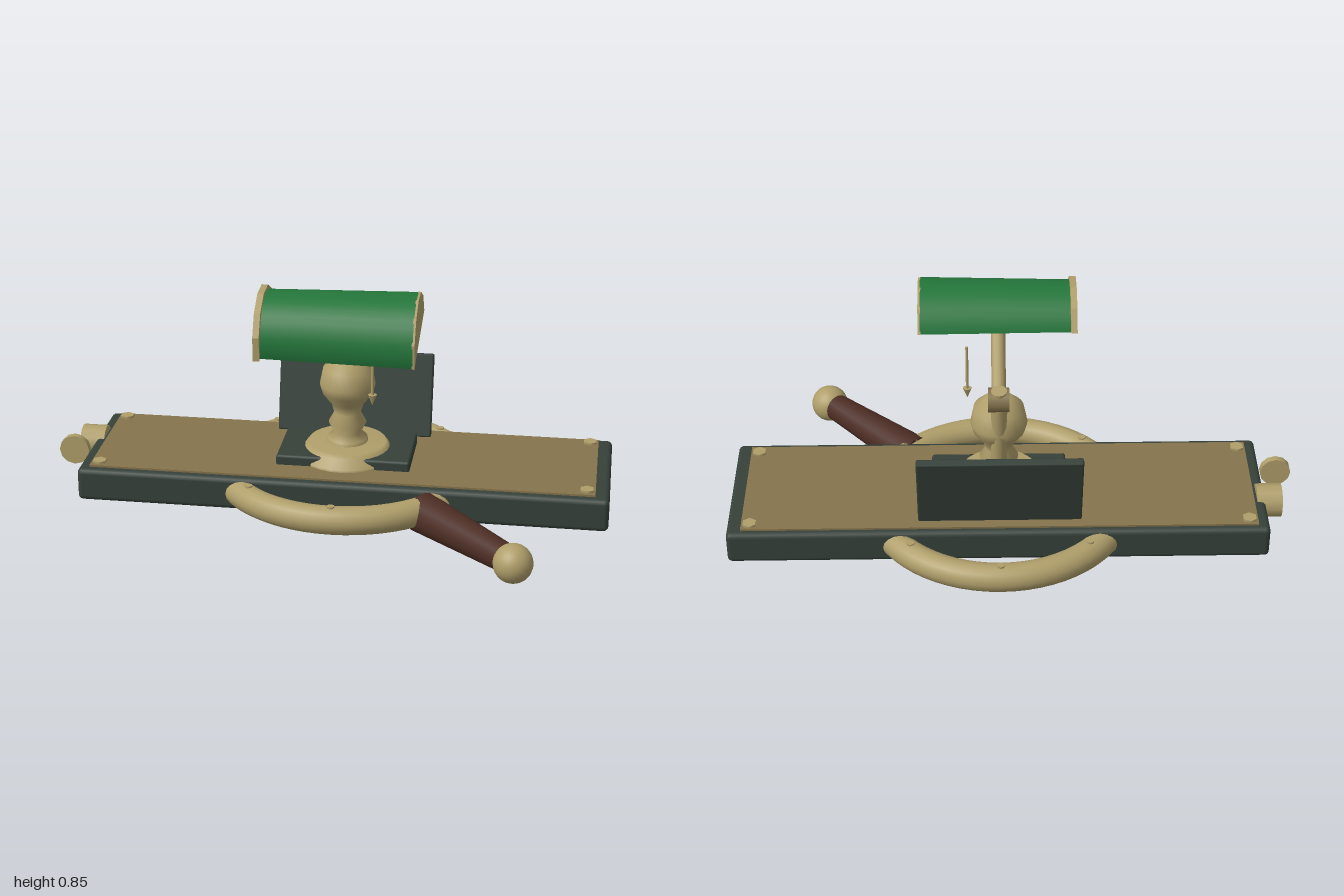
import * as THREE from 'three';
import { RoundedBoxGeometry } from 'three/addons/geometries/RoundedBoxGeometry.js';

const material = (name, color, extra = {}) => {
  const m = new THREE.MeshStandardMaterial({ color, ...extra });
  m.name = name;
  return m;
};

export function createModel() {
  const model = new THREE.Group();
  model.name = 'deskLamp';

  const brass = material('brass', 0xb09f6b);
  const agedBrass = material('agedBrass', 0x85744c);
  const iron = material('darkIron', 0x36413a);
  const wood = material('darkWood', 0x4c2d24);
  const green = material('greenGlass', 0x24763b, { side: THREE.DoubleSide });

  const add = (name, geometry, mat, x = 0, y = 0, z = 0, parent = model) => {
    const mesh = new THREE.Mesh(geometry, mat);
    mesh.name = name;
    mesh.position.set(x, y, z);
    parent.add(mesh);
    return mesh;
  };

  // Tapered round bar between two points
  const UP = new THREE.Vector3(0, 1, 0);
  const bar = (name, from, to, r0, r1, mat, sides = 16) => {
    const a = new THREE.Vector3(...from), b = new THREE.Vector3(...to);
    const dir = b.clone().sub(a);
    const mesh = add(name, new THREE.CylinderGeometry(r1, r0, dir.length(), sides), mat);
    mesh.position.copy(a).add(b).multiplyScalar(0.5);
    mesh.quaternion.setFromUnitVectors(UP, dir.normalize());
    return mesh;
  };

  const CX = 0.05, CZ = -0.11;

  // Long base with inset top plate and corner bolts
  add('base', new RoundedBoxGeometry(1.89, 0.12, 0.545, 2, 0.018), iron, 0.055, 0.09, -0.1125);
  add('topPlate', new THREE.BoxGeometry(1.8, 0.012, 0.49), agedBrass, 0.05, 0.151, -0.115);
  for (const x of [-0.82, 0.92]) {
    for (const z of [-0.33, 0.095]) {
      add('cornerBolt', new THREE.CylinderGeometry(0.026, 0.026, 0.012, 6), brass, x, 0.159, z);
    }
  }

  // Ring passing through the base, with rivets
  const ring = add('ring', new THREE.TorusGeometry(0.437, 0.05, 16, 64), brass, CX, 0.09, -0.117);
  ring.rotation.x = Math.PI / 2;
  for (let i = 0; i < 8; i++) {
    const a = i * Math.PI / 4;
    const x = CX + 0.437 * Math.cos(a), z = -0.117 + 0.437 * Math.sin(a);
    if (z > 0.16 || z < -0.39) {
      add('ringRivet', new THREE.CylinderGeometry(0.014, 0.014, 0.02, 8), brass, x, 0.134, z);
    }
  }

  // Crank handle with ball end
  bar('handle', [0.355, 0.075, 0.18], [0.67, 0.078, 0.505], 0.073, 0.05, wood, 20);
  add('handleBall', new THREE.SphereGeometry(0.068, 24, 16), brass, 0.692, 0.076, 0.53);

  // Side knobs
  bar('sideKnob', [-0.95, 0.12, -0.175], [-0.86, 0.12, -0.175], 0.06, 0.06, brass, 12);
  bar('sideDisc', [-0.945, 0.145, -0.045], [-0.945, 0.145, -0.02], 0.055, 0.055, brass, 12);

  // Block, flared foot and turned column
  add('footBlock', new RoundedBoxGeometry(0.48, 0.045, 0.28, 1, 0.009), iron, CX, 0.17, -0.112);
  const lathe = (name, points) => add(name,
    new THREE.LatheGeometry(points.map(([r, y]) => new THREE.Vector2(r, y)), 28), brass, CX, 0, CZ);
  lathe('flaredFoot', [[0.18, 0.155], [0.18, 0.166], [0.15, 0.196], [0.14, 0.21], [0, 0.212]]);
  lathe('column', [
    [0.075, 0.205], [0.073, 0.225], [0.05, 0.245], [0.068, 0.283], [0.048, 0.32],
    [0.058, 0.355], [0.09, 0.395], [0.1, 0.43], [0.088, 0.49], [0.045, 0.53], [0, 0.534],
  ]);

  // Leaning back post, hinge and lamp arm
  bar('post', [CX, 0.2, -0.15], [CX, 0.622, -0.208], 0.028, 0.028, brass, 12);
  bar('hinge', [0.015, 0.58, -0.2], [0.088, 0.58, -0.2], 0.043, 0.043, agedBrass, 8);
  bar('arm', [CX, 0.49, -0.185], [CX, 0.735, 0.03], 0.025, 0.025, brass, 12);

  // Half-round shade with flat end caps
  const shade = new THREE.Group();
  shade.name = 'shade';
  shade.position.set(0.06, 0.694, 0.115);
  shade.rotation.set(0, Math.PI / 2, 0.314);
  model.add(shade);
  const shell = new THREE.CylinderGeometry(0.162, 0.149, 0.52, 18, 1, true, Math.PI / 2, Math.PI);
  shell.rotateX(Math.PI / 2);
  add('shadeShell', shell, green, 0, 0, 0, shade);
  const half = new THREE.Shape();
  for (let i = 0; i <= 6; i++) {
    const a = i * Math.PI / 6, x = 0.164 * Math.cos(a), y = 0.164 * Math.sin(a);
    if (i) half.lineTo(x, y); else half.moveTo(x, y);
  }
  half.closePath();
  for (const [z, depth] of [[-0.283, 0.022], [0.257, 0.01]]) {
    add('shadeEndCap', new THREE.ExtrudeGeometry(half, { depth, bevelEnabled: false }), brass, 0, 0, z, shade);
  }

  // Pull rod with pointed end
  bar('pullRod', [0.16, 0.63, 0.057], [0.16, 0.455, 0.057], 0.005, 0.005, brass, 8);
  bar('pullTip', [0.16, 0.458, 0.057], [0.16, 0.42, 0.057], 0.016, 0.001, brass, 8);

  // Tilted back panel
  const panel = add('backPanel', new RoundedBoxGeometry(0.57, 0.31, 0.03, 1, 0.007), iron, CX, 0.303, -0.345);
  panel.rotation.x = -0.255;

  return model;
}
